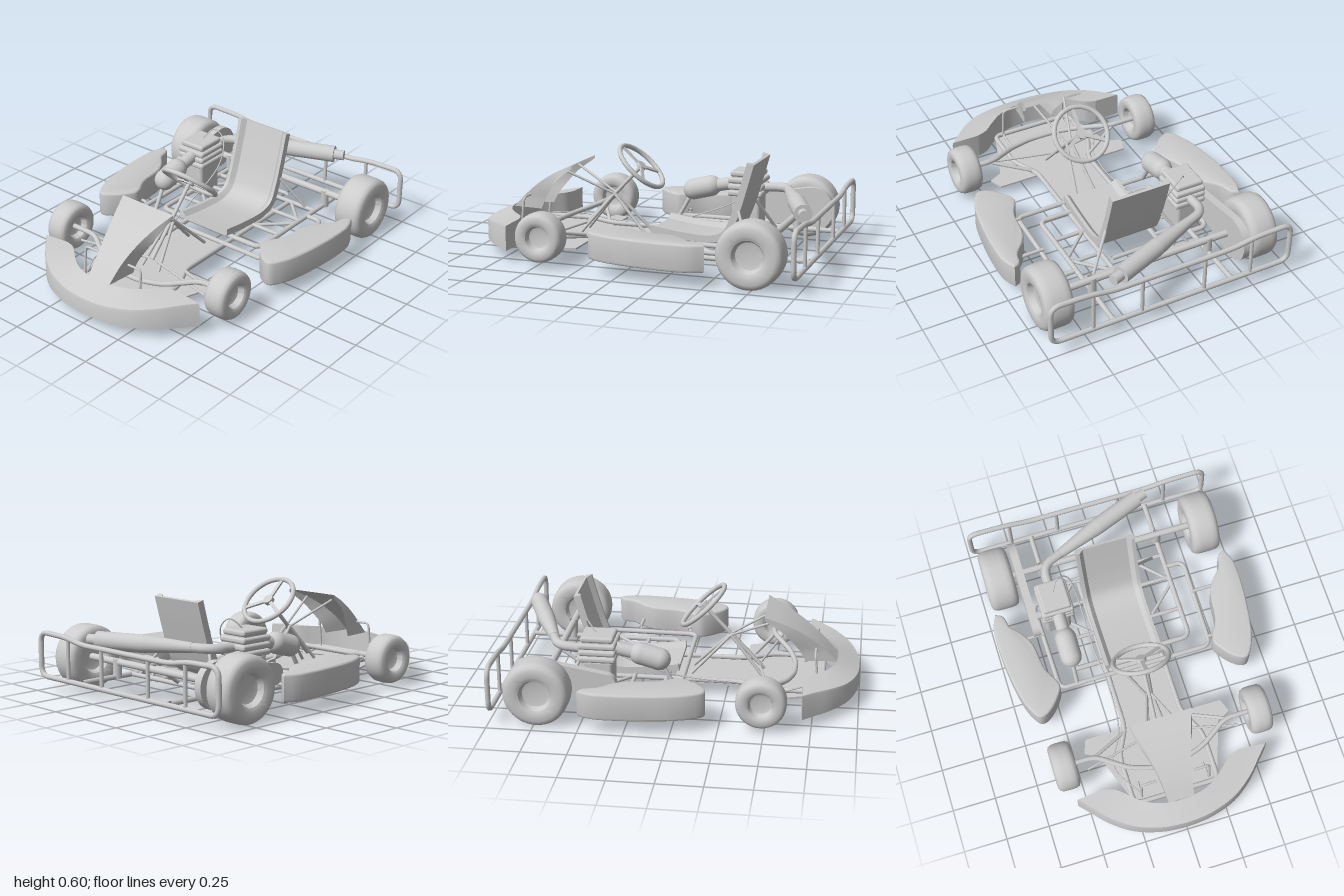
import * as THREE from 'three';
import { toCreasedNormals } from 'three/addons/utils/BufferGeometryUtils.js';
import { RoundedBoxGeometry } from 'three/addons/geometries/RoundedBoxGeometry.js';

const V = (p) => new THREE.Vector3(...p);
const mirror = (pts) => pts.map(([x, y, z]) => [-x, y, z]);
// a half path starting on one side, completed with its mirror image
const across = (half) => [...half, ...mirror(half).reverse()];

export function createModel() {
  const kart = new THREE.Group();
  kart.name = 'kart';
  const mat = new THREE.MeshStandardMaterial({ color: 0xcccccc, side: THREE.DoubleSide });

  function add(name, geo, pos = [0, 0, 0], parent = kart) {
    const m = new THREE.Mesh(geo, mat);
    m.name = name;
    m.position.set(...pos);
    parent.add(m);
    return m;
  }

  // pipe along a polyline with rounded corners
  function pipe(name, pts, r = 0.015, bend = 0.05, closed = false) {
    const p = pts.map(V), n = p.length, path = new THREE.CurvePath();
    const toward = (a, b) => a.clone().lerp(b, Math.min(0.45, bend / a.distanceTo(b)));
    let last = closed ? toward(p[0], p[1]) : p[0];
    for (let i = 1; i < (closed ? n + 1 : n - 1); i++) {
      const c = p[i % n], a = toward(c, p[i - 1]), b = toward(c, p[(i + 1) % n]);
      path.add(new THREE.LineCurve3(last, a));
      path.add(new THREE.QuadraticBezierCurve3(a, c, b));
      last = b;
    }
    if (!closed) path.add(new THREE.LineCurve3(last, p[n - 1]));
    const segs = n === 2 ? 1 : Math.ceil(path.getLength() / 0.015);
    return add(name, new THREE.TubeGeometry(path, segs, r, 10, false));
  }

  // skin over a row of equal-sized rings; closed rings get end caps
  function loft(rings, closed = true, crease = 0.6) {
    const k = rings[0].length, idx = [], kk = closed ? k : k - 1;
    for (let i = 0; i < rings.length - 1; i++)
      for (let j = 0; j < kk; j++) {
        const a = i * k + j, b = i * k + (j + 1) % k;
        idx.push(a, b, a + k, b, b + k, a + k);
      }
    if (closed) [0, (rings.length - 1) * k].forEach((o, e) => {
      const f = THREE.ShapeUtils.triangulateShape(capOutline(rings[e ? rings.length - 1 : 0]), []);
      f.forEach(([a, b, c]) => (e ? idx.push(o + a, o + b, o + c) : idx.push(o + a, o + c, o + b)));
    });
    const g = new THREE.BufferGeometry();
    g.setAttribute('position', new THREE.Float32BufferAttribute(rings.flat(2), 3));
    g.setIndex(idx);
    return toCreasedNormals(g, crease);
  }
  // ring flattened to its own plane for capping
  function capOutline(ring) {
    const span = [0, 1, 2].map((a) => Math.max(...ring.map((p) => p[a])) - Math.min(...ring.map((p) => p[a])));
    const drop = span.indexOf(Math.min(...span));
    return ring.map((p) => new THREE.Vector2(...p.filter((_, a) => a !== drop)));
  }
  const spline = (pts, n) => new THREE.CatmullRomCurve3(pts.map(V)).getPoints(n).map((p) => p.toArray());

  // cylinder or cone between two points
  function rod(name, a, b, ra, rb = ra, sides = 24) {
    const A = V(a), B = V(b), d = B.clone().sub(A);
    const m = add(name, new THREE.CylinderGeometry(rb, ra, d.length(), sides), A.clone().add(B).multiplyScalar(0.5).toArray());
    m.quaternion.setFromUnitVectors(new THREE.Vector3(0, 1, 0), d.normalize());
    return m;
  }

  // wheels: tyre with a dished rim on both faces
  function wheel(name, x, y, z, R, w, rim) {
    const h = w / 2;
    const half = [[0.001, h - 0.045], [rim * 0.55, h - 0.045], [rim * 0.75, h - 0.04], [rim * 0.9, h - 0.008], [rim, h - 0.004],
      [rim * 1.12, h], [R * 0.82, h], [R * 0.93, h - 0.008], [R * 0.985, h - 0.025], [R, h - 0.05]];
    const prof = [...half.map(([r, a]) => [r, -a]), ...half.slice().reverse()].map((p) => new THREE.Vector2(...p));
    const g = toCreasedNormals(new THREE.LatheGeometry(prof, 48), 0.7);
    add(name, g.rotateZ(Math.PI / 2), [x, y, z]);
  }
  for (const s of [1, -1]) {
    wheel('rearWheel', s * 0.625, 0.183, -0.735, 0.182, 0.17, 0.1);
    wheel('frontWheel', s * 0.576, 0.165, 0.48, 0.139, 0.13, 0.077);
  }

  // floor pan
  const half = [[0.17, -0.05], [0.17, 0.34], [0.41, 0.34], [0.44, 0.42], [0.36, 0.46], [0.24, 0.8]];
  const outline = [...half, ...half.map(([x, z]) => [-x, z]).reverse()].map(([x, z]) => new THREE.Vector2(x, -z));
  add('floorPan', new THREE.ExtrudeGeometry(new THREE.Shape(outline), { depth: 0.01, bevelEnabled: false }).rotateX(-Math.PI / 2), [0, 0.063, 0]);

  // side pods
  const podLine = [[0.7, -0.49], [0.73, -0.4], [0.725, -0.2], [0.69, 0.03], [0.64, 0.15], [0.6, 0.17], [0.54, 0.13], [0.48, 0.05],
    [0.48, 0], [0.53, -0.1], [0.55, -0.25], [0.59, -0.33], [0.65, -0.4], [0.67, -0.47]];
  for (const s of [1, -1]) {
    const sh = new THREE.Shape();
    sh.setFromPoints(new THREE.SplineCurve([...podLine, podLine[0]].map(([x, z]) => new THREE.Vector2(s * x, -z))).getPoints(56).slice(0, -1));
    const g = new THREE.ExtrudeGeometry(sh, { depth: 0.125, bevelSize: 0.01, bevelThickness: 0.013, bevelSegments: 3 });
    add('sidePod', toCreasedNormals(g.rotateX(-Math.PI / 2), 0.6), [0, 0.093, 0]);
    for (const z of [-0.34, -0.04]) pipe('podBracket', [[s * 0.46, 0.13, z], [s * 0.6, 0.13, z]], 0.01);
  }

  // front bumper fairing, lofted from end to end
  const outer = spline(across([[-0.56, 0.2, 0.7], [-0.5, 0.197, 0.765], [-0.42, 0.187, 0.85], [-0.3, 0.17, 0.935], [-0.15, 0.156, 0.985], [-0.04, 0.153, 0.998]]), 44);
  const inner = spline(across([[-0.4, 0.212, 0.69], [-0.34, 0.213, 0.71], [-0.27, 0.213, 0.77], [-0.2, 0.213, 0.825], [-0.12, 0.213, 0.86], [-0.04, 0.213, 0.872]]), 44);
  add('frontFairing', loft(outer.map(([x, y, z], i) => {
    const [a, b, c] = inner[i];
    return [[x, 0.062, z], [x, y - 0.01, z], [x * 0.97 + a * 0.03, y + 0.004, z * 0.97 + c * 0.03], [a, b, c], [a, 0.062, c]];
  })));

  // nose panel with flanges folded back
  const face = spline([[0.18, 0.49, 0.46], [0.14, 0.435, 0.58], [0.105, 0.36, 0.7], [0.085, 0.285, 0.79], [0.075, 0.205, 0.868]], 16);
  const flange = spline([[0.18, 0.472, 0.46], [0.155, 0.395, 0.56], [0.13, 0.335, 0.61], [0.1, 0.265, 0.66], [0.09, 0.205, 0.69]], 16);
  add('nosePanel', loft(face.map((f, i) => [flange[i], f, ...mirror([f, flange[i]])]), false));

  // seat: shallow tub swept from the front edge up the backrest
  const seatPath = new THREE.CatmullRomCurve3([[0, 0.155, -0.02], [0, 0.13, -0.2], [0, 0.125, -0.38], [0, 0.16, -0.46], [0, 0.26, -0.51], [0, 0.42, -0.56], [0, 0.565, -0.6]].map(V));
  const section = [[-0.175, 0.025], [-0.175, -0.016], [0.175, -0.016], [0.175, 0.025], [0.155, 0.025], [0.13, 0], [-0.13, 0], [-0.155, 0.025]];
  const seatRings = [];
  for (let i = 0; i <= 32; i++) {
    const p = seatPath.getPointAt(i / 32), t = seatPath.getTangentAt(i / 32);
    seatRings.push(section.map(([x, d]) => [x, p.y - t.z * d, p.z + t.y * d]));
  }
  add('seat', loft(seatRings, true, 0.7));

  // chassis tubes
  pipe('mainRail', across([[-0.17, 0.09, -0.62], [-0.17, 0.09, 0.34], [-0.25, 0.09, 0.5], [-0.25, 0.09, 0.79]]), 0.014);
  pipe('sideRail', across([[-0.36, 0.1, -0.55], [-0.47, 0.1, -0.55], [-0.46, 0.1, 0.005]]), 0.014);
  pipe('rearRail', across([[-0.36, 0.1, -0.98], [-0.36, 0.1, -0.085]]), 0.015);
  pipe('seatCrossTube', [[-0.36, 0.1, -0.63], [0.36, 0.1, -0.63]], 0.013);
  pipe('seatBackTube', [[-0.17, 0.16, -0.61], [0.17, 0.16, -0.61]], 0.012);
  for (const s of [1, -1]) {
    for (const z of [-0.48, -0.27]) pipe('crossTube', [[s * 0.16, 0.1, z], [s * 0.36, 0.1, z]], 0.012);
    pipe('diagonalBrace', [[s * 0.19, 0.1, -0.63], [s * 0.36, 0.1, -0.46]], 0.01);
    pipe('diagonalBrace', [[s * 0.36, 0.1, -0.44], [s * 0.19, 0.1, -0.28]], 0.01);
    pipe('seatStay', [[s * 0.17, 0.3, -0.53], [s * 0.3, 0.1, -0.63]], 0.009);
    pipe('axleBracket', [[s * 0.36, 0.09, -0.735], [s * 0.36, 0.2, -0.735]], 0.025);
    pipe('frontBrace', [[s * 0.17, 0.09, 0.36], [s * 0.4, 0.15, 0.48]], 0.01);
    pipe('tieRod', [[s * 0.45, 0.13, 0.53], [s * 0.03, 0.13, 0.43]], 0.007);
    pipe('pedal', [[s * 0.195, 0.08, 0.67], [s * 0.2, 0.1, 0.77], [s * 0.2, 0.29, 0.75], [s * 0.11, 0.29, 0.75]], 0.007, 0.025);
  }
  pipe('axleSupport', [[-0.035, 0.1, -0.62], [-0.035, 0.18, -0.735]], 0.01);
  rod('rearAxle', [-0.59, 0.183, -0.735], [0.59, 0.183, -0.735], 0.02);
  pipe('frontAxle', across([[-0.55, 0.165, 0.48], [-0.39, 0.165, 0.48], [-0.22, 0.13, 0.59], [-0.08, 0.12, 0.63]]), 0.015);

  // rear bumper
  pipe('rearBumper', across([[-0.36, 0.31, -0.985], [-0.5, 0.335, -0.985], [-0.725, 0.34, -0.985], [-0.725, 0.09, -0.985]]), 0.015, 0.06, true);
  for (const x of [0.48, 0.19]) for (const s of [1, -1])
    pipe('bumperPost', [[s * x, 0.09, -0.985], [s * x, x > 0.3 ? 0.33 : 0.31, -0.985]], 0.011);

  // steering wheel, tilted with its column
  const steering = new THREE.Group();
  steering.name = 'steeringWheel';
  steering.position.set(0, 0.48, 0.1);
  steering.rotation.x = -0.82; // +z axis points up and forward before turning back
  steering.rotation.x = Math.PI + 0.82;
  kart.add(steering);
  add('rim', new THREE.TorusGeometry(0.16, 0.014, 12, 48), [0, 0, 0], steering);
  add('hub', new THREE.CylinderGeometry(0.03, 0.03, 0.025, 24).rotateX(Math.PI / 2), [0, 0, 0], steering);
  for (const a of [-90, 30, 150]) {
    const g = new THREE.BoxGeometry(0.15, 0.022, 0.01).translate(0.08, 0, 0);
    add('spoke', g.rotateZ(a * Math.PI / 180), [0, 0, 0], steering);
  }
  rod('steeringColumn', [0, 0.48, 0.1], [0, 0.13, 0.43], 0.011);
  for (const s of [1, -1]) {
    pipe('columnStrut', [[s * 0.015, 0.31, 0.26], [s * 0.06, 0.08, 0.45]], 0.009);
    pipe('columnStrut', [[s * 0.015, 0.31, 0.26], [s * 0.06, 0.08, 0.04]], 0.009);
    pipe('noseStay', [[s * 0.015, 0.31, 0.26], [s * 0.1, 0.445, 0.53]], 0.007);
  }

  // engine: crankcase and stacked cooling fins
  add('crankcase', new RoundedBoxGeometry(0.15, 0.2, 0.17, 3, 0.02), [-0.36, 0.19, -0.44]);
  add('cylinderCore', new THREE.BoxGeometry(0.15, 0.15, 0.16), [-0.357, 0.345, -0.44]);
  for (let i = 0; i < 4; i++) {
    const w = i === 3 ? 0.165 : 0.188;
    add('coolingFin', new RoundedBoxGeometry(w, 0.034, w + 0.02, 2, 0.014), [-0.357, 0.298 + i * 0.038, -0.44]);
  }
  rod('engineShaft', [-0.5, 0.19, -0.44], [-0.4, 0.19, -0.44], 0.025);

  // intake silencer
  const A = [-0.357, 0.275, -0.05], B = [-0.357, 0.33, -0.26];
  const silencer = new THREE.CapsuleGeometry(0.062, 0.11, 8, 28);
  const sm = add('intakeSilencer', silencer, A.map((v, i) => (v + B[i]) / 2));
  sm.quaternion.setFromUnitVectors(new THREE.Vector3(0, 1, 0), V(B).sub(V(A)).normalize());
  rod('intakeNeck', [-0.357, 0.32, -0.23], [-0.357, 0.35, -0.38], 0.038);
  rod('intakeMount', [-0.357, 0.1, 0], [-0.357, 0.28, -0.1], 0.012);

  // exhaust
  pipe('exhaustPipe', [[-0.357, 0.33, -0.52], [-0.357, 0.34, -0.67], [-0.13, 0.34, -0.76]], 0.027, 0.07);
  rod('exhaustCone', [-0.24, 0.34, -0.716], [0.02, 0.34, -0.82], 0.028, 0.05);
  rod('exhaustMuffler', [0.02, 0.34, -0.82], [0.29, 0.34, -0.925], 0.05);
  rod('exhaustTip', [0.28, 0.34, -0.92], [0.345, 0.34, -0.945], 0.03);

  // chain guard: two circles joined by their tangents
  const guard = new THREE.Shape();
  guard.absarc(0.79, 0.19, 0.13, -1.75, 1.75);
  guard.absarc(0.38, 0.19, 0.06, 1.75, Math.PI * 2 - 1.75);
  add('chainGuard', new THREE.ExtrudeGeometry(guard, { depth: 0.045, bevelEnabled: false, curveSegments: 24 }).rotateY(Math.PI / 2), [-0.522, 0, 0]);

  // throttle cable
  const cable = [[-0.36, 0.42, -0.45], [-0.31, 0.48, -0.51], [-0.25, 0.43, -0.52], [-0.22, 0.3, -0.45], [-0.21, 0.16, -0.15], [-0.19, 0.11, 0.05], [-0.21, 0.1, 0.35], [-0.3, 0.1, 0.55], [-0.2, 0.12, 0.75]];
  add('throttleCable', new THREE.TubeGeometry(new THREE.CatmullRomCurve3(cable.map(V)), 80, 0.004, 6));
  return kart;
}
